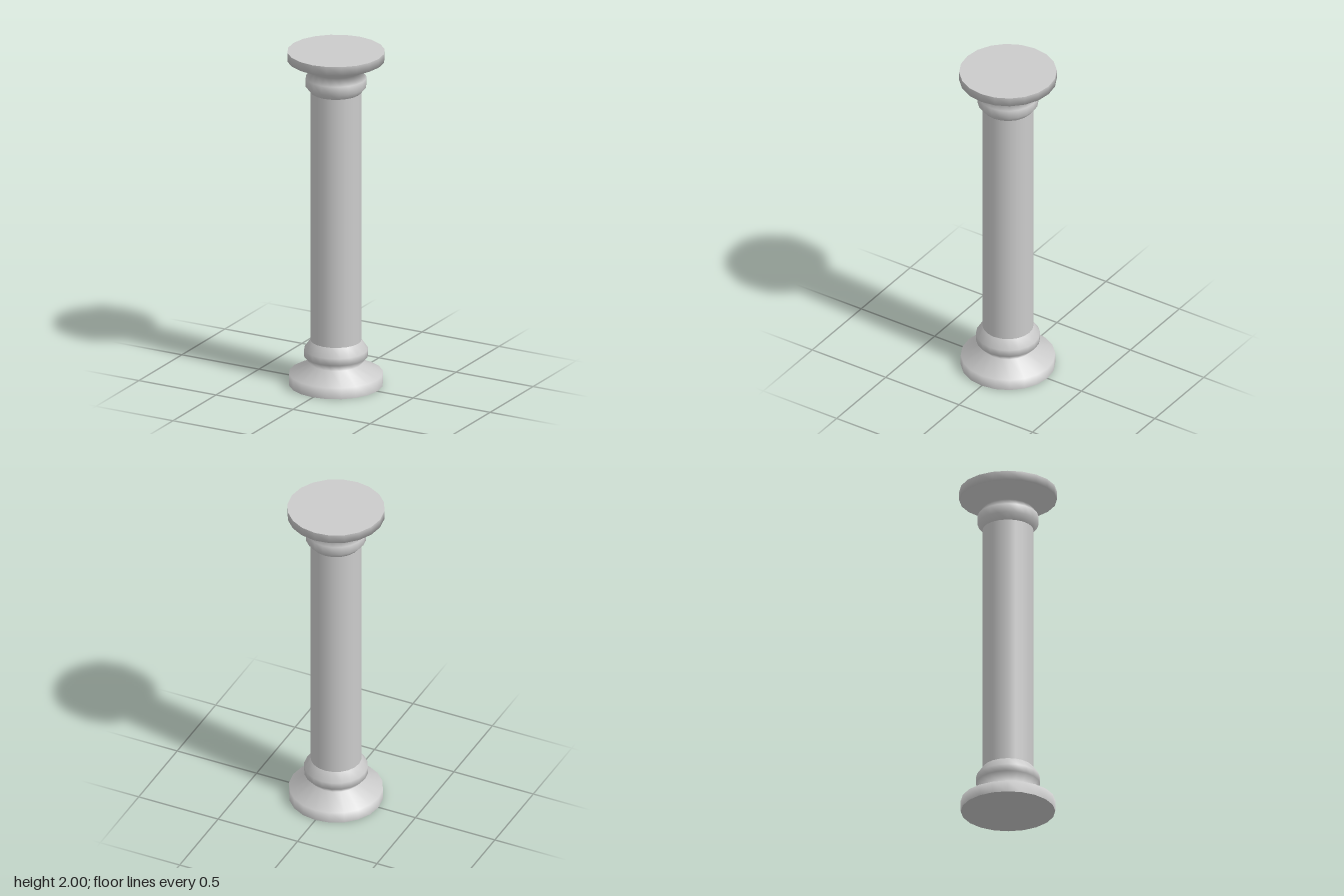
import * as THREE from 'three';

const SIDES = 20;
const material = new THREE.MeshStandardMaterial({ color: 0xcccccc });

// Turned part from [radius, height] pairs, listed bottom to top
function turned(name, profile) {
  const points = profile.map(([r, y]) => new THREE.Vector2(r, y));
  const mesh = new THREE.Mesh(new THREE.LatheGeometry(points, SIDES), material);
  mesh.name = name;
  return mesh;
}

// Flat disc closing an end; facing is 1 for up, -1 for down
function disc(name, radius, y, facing) {
  const mesh = new THREE.Mesh(new THREE.CircleGeometry(radius, SIDES), material);
  mesh.rotation.x = -facing * Math.PI / 2;
  mesh.position.y = y;
  mesh.name = name;
  return mesh;
}

export function createModel() {
  const column = new THREE.Group();
  column.name = 'column';

  // Base: plinth, sloped shoulder, narrow neck and rounded ring
  column.add(turned('base', [
    [0.268, 0], [0.268, 0.067], [0.143, 0.125],
    [0.182, 0.17], [0.182, 0.212], [0.145, 0.265],
  ]));
  column.add(disc('baseUnderside', 0.268, 0, -1));

  // Plain straight shaft
  column.add(turned('shaft', [[0.145, 0.265], [0.145, 1.757]]));

  // Capital: rounded ring, narrow neck, flared bell and top slab
  column.add(turned('capital', [
    [0.145, 1.757], [0.173, 1.792], [0.173, 1.843],
    [0.143, 1.884], [0.277, 1.947], [0.277, 2],
  ]));
  column.add(disc('capitalTop', 0.277, 2, 1));

  return column;
}
